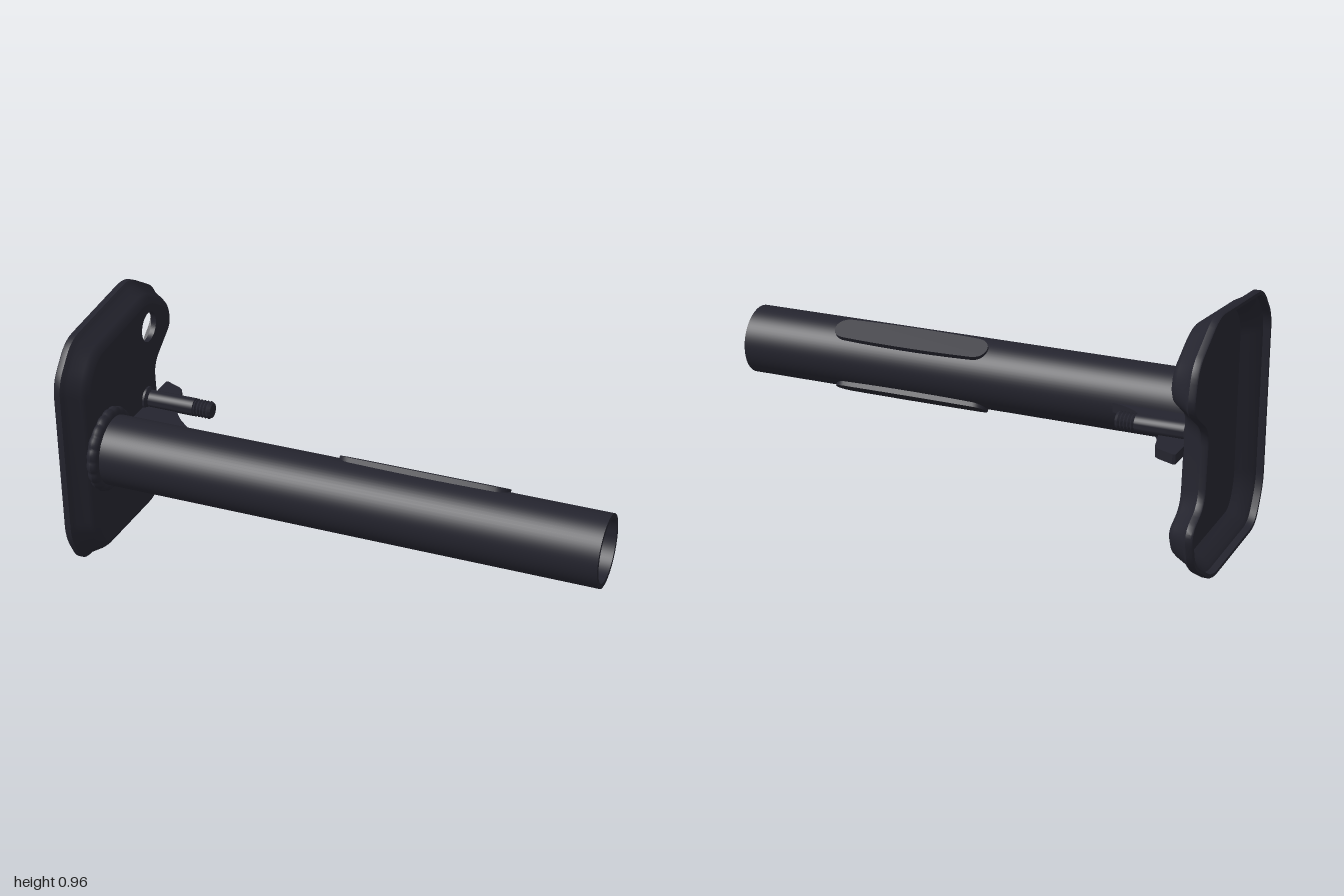
import * as THREE from 'three';
import { toCreasedNormals } from 'three/addons/utils/BufferGeometryUtils.js';

const V2 = (x, y) => new THREE.Vector2(x, y);
const AXIS_Y = 0.48, AXIS_Z = 0.235; // tube axis

// Corners of the mounting plate as [-z, y], counter-clockwise
const CORNERS = [
  [-0.4, 0.81], [-0.4, 0.16], [-0.325, 0.02], [0.15, 0.003], [0.345, 0.12], [0.385, 0.265],
  [0.262, 0.325], [0.245, 0.585], [0.407, 0.695], [0.37, 0.845], [0.175, 0.966], [-0.29, 0.932],
].map(([x, y]) => V2(x, y));

// Plate outline moved inwards by d, with rounded corners
function plateLoop(d) {
  const n = CORNERS.length;
  const dirs = CORNERS.map((p, i) => CORNERS[(i + 1) % n].clone().sub(p).normalize());
  const pts = CORNERS.map((p, i) => {
    const a = dirs[(i + n - 1) % n], b = dirs[i];
    const k = d / (1 + a.dot(b));
    return V2(p.x - (a.y + b.y) * k, p.y + (a.x + b.x) * k);
  });
  return pts.flatMap((p, i) => {
    const prev = pts[(i + n - 1) % n], next = pts[(i + 1) % n];
    const cut = Math.min(0.055, 0.45 * p.distanceTo(prev), 0.45 * p.distanceTo(next));
    const from = p.clone().add(prev.clone().sub(p).setLength(cut));
    const to = p.clone().add(next.clone().sub(p).setLength(cut));
    return new THREE.QuadraticBezierCurve(from, p, to).getPoints(6);
  });
}

// Closed loops [depth, inset] joined into the pressed rim
function rimGeometry(rings) {
  const pos = [], idx = [];
  let n = 0;
  rings.forEach(([depth, inset], r) => {
    const loop = plateLoop(inset);
    n = loop.length;
    loop.forEach((p) => pos.push(p.x, p.y, depth));
    if (r === 0) return;
    for (let i = 0; i < n; i++) {
      const a = (r - 1) * n + i, b = (r - 1) * n + (i + 1) % n;
      idx.push(a, b, b + n, a, b + n, a + n);
    }
  });
  const g = new THREE.BufferGeometry();
  g.setAttribute('position', new THREE.Float32BufferAttribute(pos, 3));
  g.setIndex(idx);
  return toCreasedNormals(g, 0.7);
}

// Turned part along x from [radius, x] points
function turned(points, segments) {
  const g = new THREE.LatheGeometry(points.map(([r, x]) => V2(r, x)), segments);
  return toCreasedNormals(g.rotateZ(-Math.PI / 2), 0.6);
}

export function createModel() {
  const model = new THREE.Group();
  const paint = new THREE.MeshStandardMaterial({ color: 0x24242e });
  paint.name = 'darkPaint';
  const add = (name, geometry, x = 0, y = 0, z = 0) => {
    const mesh = new THREE.Mesh(geometry, paint);
    mesh.name = name;
    mesh.position.set(x, y, z);
    model.add(mesh);
    return mesh;
  };

  // Mounting plate: hollow pressed rim and a flat face with two bolt holes
  const rim = rimGeometry([
    [-0.91, 0.072], [-0.93, 0.056], [-0.967, 0.03], [-0.975, 0.018], [-1, 0.015], [-1, 0.003],
    [-0.995, 0], [-0.975, 0], [-0.966, 0.008], [-0.957, 0.018], [-0.915, 0.04], [-0.9, 0.052], [-0.89, 0.072],
  ]);
  add('plateRim', rim.rotateY(Math.PI / 2));
  const face = new THREE.Shape(plateLoop(0.072));
  for (const y of [0.163, 0.793]) {
    face.holes.push(new THREE.Path().absarc(0.147, y, 0.058, 0, Math.PI * 2, true));
  }
  const faceGeo = new THREE.ExtrudeGeometry(face, { depth: 0.02, bevelEnabled: false, curveSegments: 40 });
  add('plateFace', faceGeo.translate(0, 0, -0.91).rotateY(Math.PI / 2));

  // Hollow tube
  add('tube', turned([[0.131, -0.895], [0.131, 1], [0.113, 1], [0.113, -0.895]], 72), 0, AXIS_Y, AXIS_Z);

  // Rippled weld bead around the tube foot
  const bead = new THREE.TorusGeometry(0.133, 0.022, 12, 160);
  const p = bead.attributes.position;
  for (let i = 0; i < p.count; i++) {
    const a = Math.atan2(p.getY(i), p.getX(i));
    const s = 1 + 0.03 * Math.abs(Math.cos(a * 10));
    p.setXYZ(i, p.getX(i) * s, p.getY(i) * s, p.getZ(i) * s);
  }
  bead.computeVertexNormals();
  add('weldBead', bead.rotateY(Math.PI / 2), -0.878, AXIS_Y, AXIS_Z);

  // Gusset between plate and tube, drawn as [x, -z]
  const gusset = new THREE.Shape();
  gusset.moveTo(-0.895, -0.13);
  gusset.lineTo(-0.55, -0.13);
  gusset.lineTo(-0.52, -0.103);
  gusset.quadraticCurveTo(-0.58, -0.09, -0.62, -0.06);
  gusset.lineTo(-0.71, 0.02);
  gusset.quadraticCurveTo(-0.77, 0.08, -0.785, 0.15);
  gusset.lineTo(-0.803, 0.22);
  gusset.quadraticCurveTo(-0.81, 0.245, -0.84, 0.255);
  gusset.lineTo(-0.885, 0.275);
  gusset.lineTo(-0.895, 0.272);
  const gussetGeo = new THREE.ExtrudeGeometry(gusset, { depth: 0.036, bevelEnabled: false, curveSegments: 10 });
  add('gusset', toCreasedNormals(gussetGeo.rotateX(-Math.PI / 2), 0.5), 0, 0.459, 0);

  // Stud with collar and threaded tip
  const stud = [[0, -0.9], [0.045, -0.9], [0.045, -0.882], [0.034, -0.872], [0.034, -0.69]];
  for (let i = 0; i < 5; i++) stud.push([0.029, -0.688 + i * 0.013], [0.034, -0.681 + i * 0.013]);
  stud.push([0.028, -0.618], [0, -0.618]);
  add('stud', turned(stud, 32), 0, 0.515, -0.1);

  // Two flat pads with rounded ends on the rear of the tube, mirrored top and bottom
  const pad = new THREE.Shape();
  pad.moveTo(-0.27, -0.045);
  pad.quadraticCurveTo(0, -0.056, 0.27, -0.045);
  pad.bezierCurveTo(0.33, -0.038, 0.33, 0.038, 0.27, 0.045);
  pad.quadraticCurveTo(0, 0.056, -0.27, 0.045);
  pad.bezierCurveTo(-0.33, 0.038, -0.33, -0.038, -0.27, -0.045);
  const padGeo = toCreasedNormals(
    new THREE.ExtrudeGeometry(pad, { depth: 0.03, bevelEnabled: false, curveSegments: 14 }).translate(0.315, 0, 0.11), 0.6);
  const tilt = THREE.MathUtils.degToRad(31);
  add('upperPad', padGeo, 0, AXIS_Y, AXIS_Z).rotation.x = -Math.PI / 2 - tilt;
  add('lowerPad', padGeo, 0, AXIS_Y, AXIS_Z).rotation.x = Math.PI / 2 + tilt;

  return model;
}
